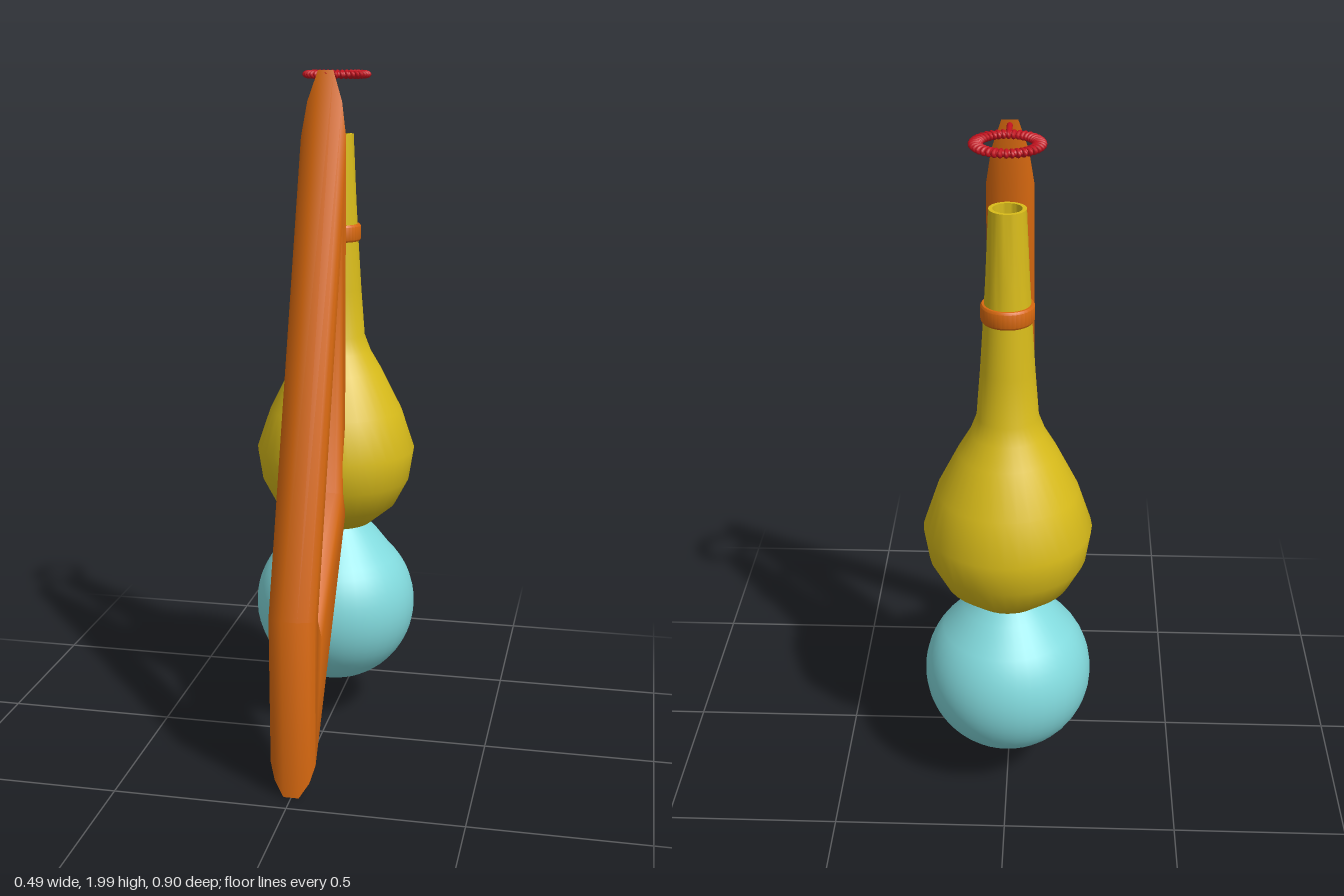
import * as THREE from 'three';
import { toCreasedNormals } from 'three/addons/utils/BufferGeometryUtils.js';

const AXIS_Z = -0.2; // vertical axis of the vessel, ball and rings
const V = (x, y) => new THREE.Vector2(x, y);
const material = (color) => new THREE.MeshStandardMaterial({ color });

const orange = material(0xd9690f);
const yellow = material(0xd9bc1a);
const blue = material(0x82dadd);
const red = material(0xc4121f);

function addMesh(parent, name, geometry, mat, x = 0, y = 0, z = 0) {
  const mesh = new THREE.Mesh(geometry, mat);
  mesh.name = name;
  mesh.position.set(x, y, z);
  parent.add(mesh);
  return mesh;
}

// Shift every edge of a closed loop to its left by d, with full mitres
function offsetLoop(loop, d) {
  const n = loop.length;
  const normal = (a, b) => V(a.y - b.y, b.x - a.x).normalize();
  return loop.map((p, i) => {
    const n1 = normal(loop[(i + n - 1) % n], p);
    const n2 = normal(p, loop[(i + 1) % n]);
    return p.clone().addScaledVector(n1.clone().add(n2), d / (1 + n1.dot(n2)));
  });
}

// Rounded slab in the z/y plane: section lists [x, inset] across the width
function roundedFrame(outer, hole, section) {
  const pos = [];
  const put = (p, x) => pos.push(x, p.y, p.x);
  for (const loop of [outer, hole]) {
    const rings = section.map(([, inset]) => offsetLoop(loop, inset));
    for (let k = 0; k < section.length - 1; k++) {
      const x0 = section[k][0], x1 = section[k + 1][0];
      for (let i = 0; i < loop.length; i++) {
        const j = (i + 1) % loop.length;
        const a = rings[k][i], b = rings[k][j], c = rings[k + 1][i], d = rings[k + 1][j];
        put(a, x0); put(b, x0); put(c, x1);
        put(b, x0); put(d, x1); put(c, x1);
      }
    }
  }
  // flat side faces
  const [width, inset] = section[0];
  const o = offsetLoop(outer, inset), h = offsetLoop(hole, inset);
  const all = [...o, ...h];
  for (const [a, b, c] of THREE.ShapeUtils.triangulateShape(o, [h])) {
    for (const i of [a, b, c]) put(all[i], -width);
    for (const i of [a, c, b]) put(all[i], width);
  }
  const g = new THREE.BufferGeometry();
  g.setAttribute('position', new THREE.Float32BufferAttribute(pos, 3));
  return toCreasedNormals(g, 0.85);
}

// Horizontal rod along z
function rod(radius, z0, z1) {
  return new THREE.CylinderGeometry(radius, radius, Math.abs(z1 - z0), 12)
    .rotateX(Math.PI / 2).translate(0, 0, (z0 + z1) / 2);
}

function lathe(points, segments, crease) {
  return toCreasedNormals(new THREE.LatheGeometry(points, segments), crease);
}

export function createModel() {
  const model = new THREE.Group();
  model.name = 'vesselStand';

  // Slanted stand with a long triangular opening
  const outer = [V(-0.04, 2), V(-0.04, 0.69), V(0.437, 0.01), V(0.45, 0.54)];
  const hole = [V(0.069, 1.39), V(0.345, 0.53), V(0.32, 0.495), V(0.069, 0.8)];
  const half = [[0.065, 0.03], [0.05, 0.014], [0.022, 0]];
  const section = [...half, ...half.map(([x, d]) => [-x, d]).reverse()];
  addMesh(model, 'standFrame', roundedFrame(outer, hole, section), orange);

  // Long-necked vessel, open at the top
  const vessel = [
    V(0, 0.637), V(0.11, 0.635), V(0.183, 0.695), V(0.225, 0.775), V(0.24, 0.87),
    V(0.2, 0.99), V(0.14, 1.11), V(0.105, 1.17), V(0.086, 1.22), V(0.075, 1.36),
    V(0.066, 1.5), V(0.059, 1.62), V(0.05, 1.815), V(0.039, 1.815), V(0.037, 1.6), V(0, 1.6),
  ];
  addMesh(model, 'upperVessel', lathe(vessel, 36, 0.9), yellow, 0, 0, AXIS_Z);

  // Round lower flask with a short conical neck
  const flask = [];
  const R = 0.246, steps = 20, endAngle = 0.755 * Math.PI;
  for (let i = 0; i <= steps; i++) {
    const a = (i / steps) * endAngle;
    flask.push(V(R * Math.sin(a), 0.371 - R * Math.cos(a)));
  }
  flask.push(V(0.13, 0.6), V(0.1, 0.632), V(0.092, 0.645), V(0, 0.645));
  addMesh(model, 'lowerFlask', lathe(flask, 40, 0.7), blue, 0, 0, AXIS_Z);

  // Clamp around the neck and its arm
  const clamp = new THREE.Group();
  clamp.name = 'neckClamp';
  clamp.position.y = 1.528;
  model.add(clamp);
  const band = [
    V(0.058, -0.025), V(0.069, -0.025), V(0.073, -0.019),
    V(0.073, 0.019), V(0.069, 0.025), V(0.058, 0.025), V(0.058, -0.025),
  ];
  addMesh(clamp, 'clampBand', lathe(band, 36, 0.6), orange, 0, 0, AXIS_Z);
  addMesh(clamp, 'clampArm', rod(0.012, -0.02, -0.14), orange);

  // Coiled ring above the mouth and its arm
  const coil = new THREE.Group();
  coil.name = 'topRing';
  coil.position.y = 1.985;
  model.add(coil);
  const ringRadius = 0.081, turns = 36;
  addMesh(coil, 'ringCore', new THREE.TorusGeometry(ringRadius, 0.009, 10, 48).rotateX(Math.PI / 2),
    red, 0, 0, AXIS_Z);
  const turn = new THREE.TorusGeometry(0.008, 0.0055, 8, 14).scale(1.45, 0.9, 1);
  for (let i = 0; i < turns; i++) {
    const a = (i / turns) * Math.PI * 2;
    const m = addMesh(coil, 'ringTurn', turn, red,
      ringRadius * Math.cos(a), 0, AXIS_Z - ringRadius * Math.sin(a));
    m.rotation.y = a;
  }
  addMesh(coil, 'ringArm', rod(0.008, -0.037, -0.12), red);

  return model;
}
